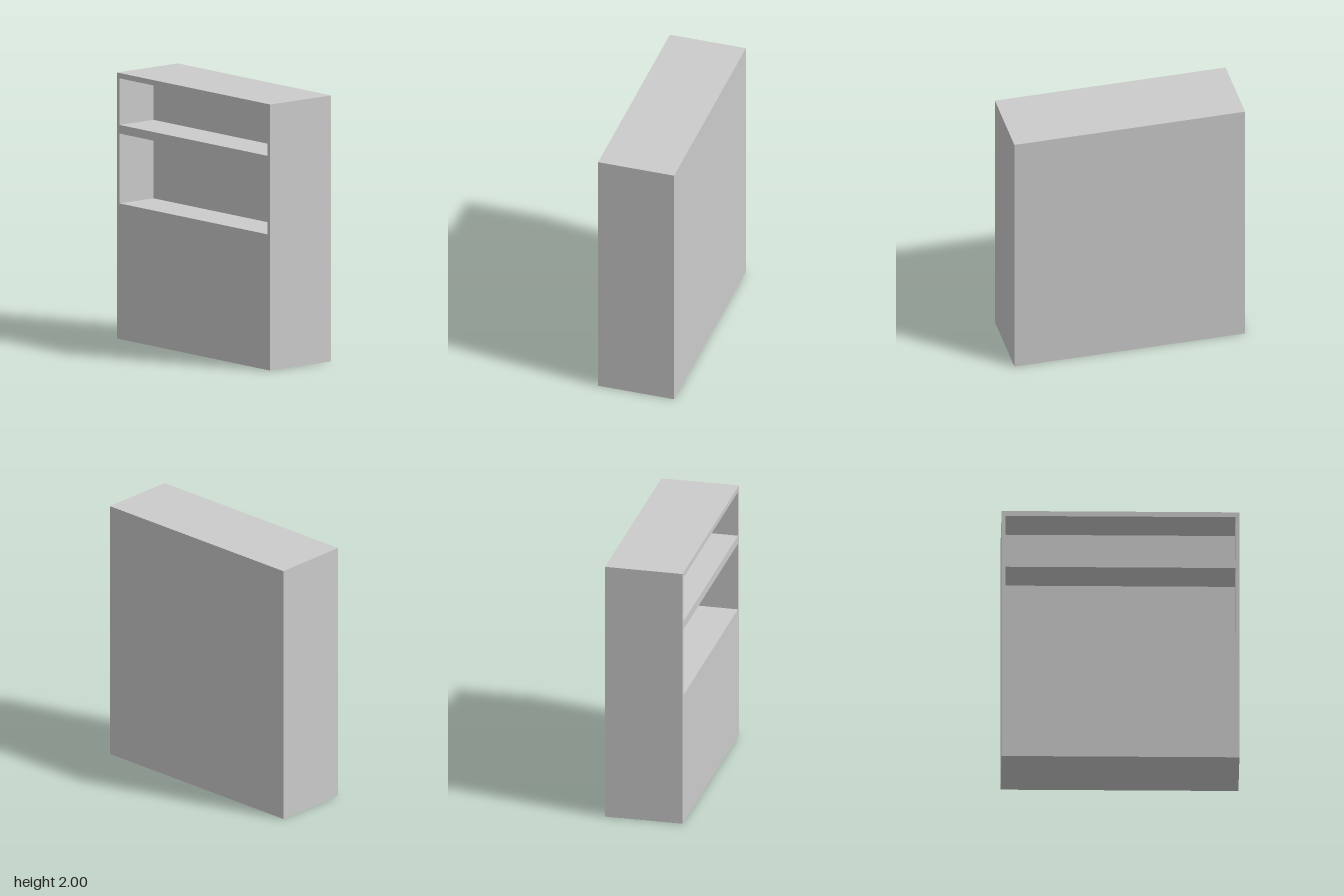
import * as THREE from 'three';

const W = 0.59, H = 2, D = 1.76; // overall size along x, y, z
const SIDE = 0.03;               // side wall thickness
const DEPTH = 0.33;              // depth of the open shelves
const SHELVES = [[1.61, 1.96], [1.02, 1.545]]; // bottom and top of each opening

// Rectangle path in the cabinet's wide plane
function rect(PathType, halfWidth, y0, y1) {
  return new PathType([
    [-halfWidth, y0], [halfWidth, y0], [halfWidth, y1], [-halfWidth, y1],
  ].map(([x, y]) => new THREE.Vector2(x, y)));
}

export function createModel() {
  const group = new THREE.Group();
  group.name = 'cabinet';
  const material = new THREE.MeshStandardMaterial({ color: 0xcccccc, flatShading: true });

  // Shelf side: solid lower part with two open compartments above, facing -x
  const outline = rect(THREE.Shape, D / 2, 0, H);
  for (const [y0, y1] of SHELVES) outline.holes.push(rect(THREE.Path, D / 2 - SIDE, y0, y1));
  const frameGeometry = new THREE.ExtrudeGeometry(outline, { depth: DEPTH, bevelEnabled: false });
  frameGeometry.rotateY(Math.PI / 2).translate(-W / 2, 0, 0);
  const frame = new THREE.Mesh(frameGeometry, material);
  frame.name = 'shelfFrame';
  group.add(frame);

  // Closed half behind the shelves
  const back = new THREE.Mesh(new THREE.BoxGeometry(W - DEPTH, H, D), material);
  back.name = 'closedBody';
  back.position.set(DEPTH / 2, H / 2, 0);
  group.add(back);

  return group;
}
